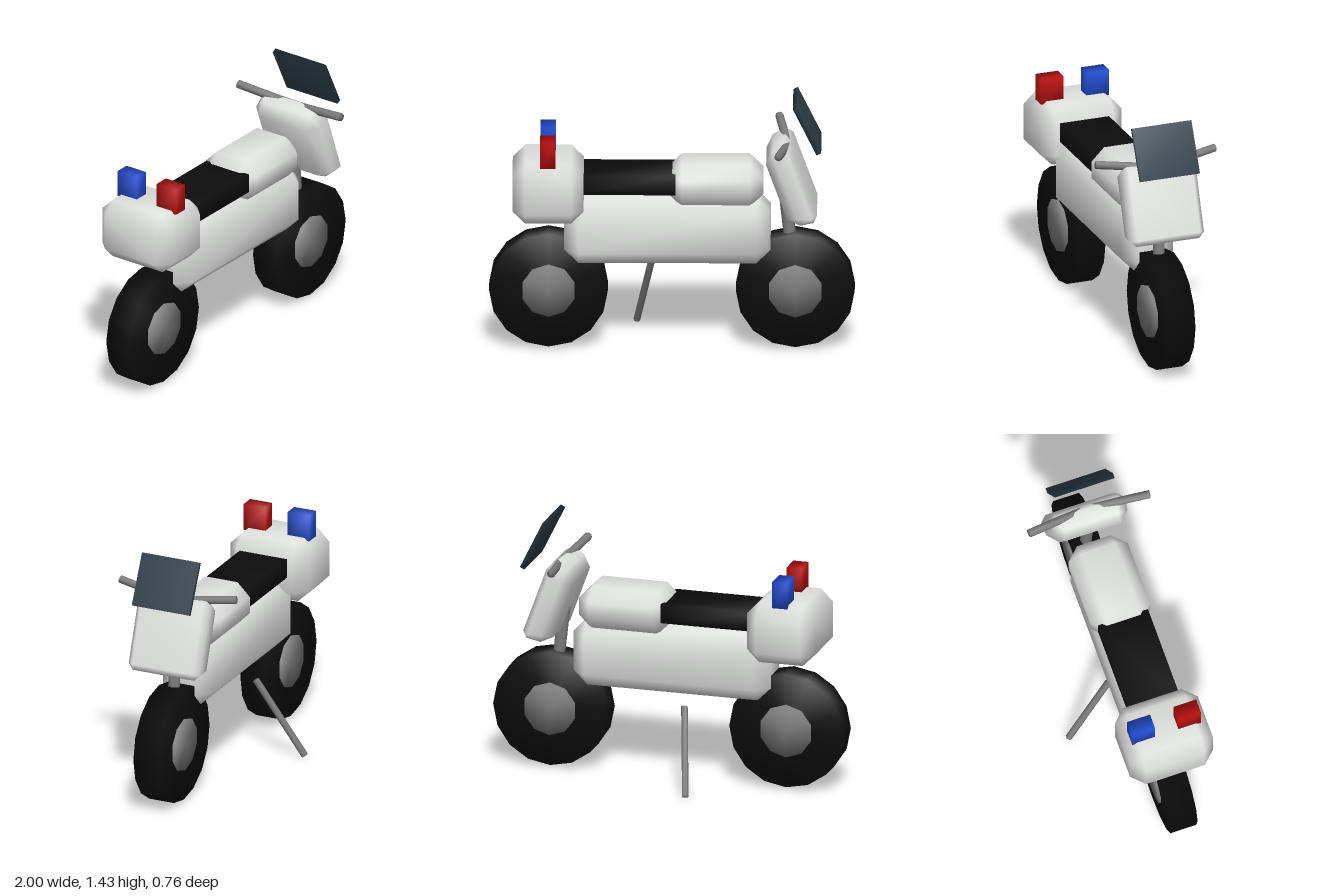
import * as THREE from 'three';
import { mergeVertices } from 'three/addons/utils/BufferGeometryUtils.js';
import { ConvexGeometry } from 'three/addons/geometries/ConvexGeometry.js';

const MID = 0.03; // z of the bike's centre plane

function material(name, color) {
  const m = new THREE.MeshStandardMaterial({ color });
  m.name = name;
  return m;
}

// Weld all corners so the shading runs smoothly over the edges
function smooth(geometry) {
  geometry.deleteAttribute('uv');
  geometry.deleteAttribute('normal');
  const welded = mergeVertices(geometry, 1e-4);
  welded.computeVertexNormals();
  return welded;
}

// Box with cut edges; the cut may differ at the -x and +x ends
function chamferBox(w, h, d, cut, cutPlus = cut) {
  const points = [];
  for (const sx of [-1, 1]) for (const sy of [-1, 1]) for (const sz of [-1, 1]) {
    const c = sx < 0 ? cut : cutPlus;
    const [x, y, z] = [w / 2, h / 2, d / 2];
    points.push(
      new THREE.Vector3(sx * x, sy * (y - c), sz * (z - c)),
      new THREE.Vector3(sx * (x - c), sy * y, sz * (z - c)),
      new THREE.Vector3(sx * (x - c), sy * (y - c), sz * z));
  }
  return smooth(new ConvexGeometry(points));
}

export function createModel() {
  const model = new THREE.Group();
  model.name = 'motorcycle';
  const white = material('white paint', 0xe0e2e0);
  const black = material('black rubber', 0x0d0d0d);
  const grey = material('grey metal', 0x7c7c7c);
  const red = material('red light', 0xc01010);
  const blue = material('blue light', 0x2450d8);
  const glass = material('dark glass', 0x2f404b);

  function add(name, geometry, mat, x, y, z, tilt = 0) {
    const mesh = new THREE.Mesh(geometry, mat);
    mesh.name = name;
    mesh.position.set(x, y, z);
    mesh.rotation.z = tilt;
    model.add(mesh);
    return mesh;
  }

  // Round bar between two points
  function rod(name, from, to, radius) {
    const a = new THREE.Vector3(...from), b = new THREE.Vector3(...to);
    const dir = b.clone().sub(a);
    const mid = a.clone().add(b).multiplyScalar(0.5);
    const mesh = add(name, smooth(new THREE.CylinderGeometry(radius, radius, dir.length(), 8)), grey, mid.x, mid.y, mid.z);
    mesh.quaternion.setFromUnitVectors(new THREE.Vector3(0, 1, 0), dir.normalize());
  }

  // Wheels with hubs showing on both sides
  for (const [end, x] of [['rear', -0.675], ['front', 0.675]]) {
    const tyre = new THREE.CylinderGeometry(0.325, 0.325, 0.15, 16).rotateX(Math.PI / 2);
    const hub = new THREE.CylinderGeometry(0.15, 0.15, 0.17, 10).rotateX(Math.PI / 2);
    add(end + 'Tyre', smooth(tyre), black, x, 0.343, MID);
    add(end + 'Hub', smooth(hub), grey, x, 0.343, MID);
  }

  // Body, tank, seat and rear case
  add('body', chamferBox(1.13, 0.38, 0.305, 0.078), white, -0.025, 0.692, MID);
  add('tank', chamferBox(0.52, 0.245, 0.345, 0.075), white, 0.24, 0.957, 0.025);
  add('seat', smooth(new THREE.BoxGeometry(0.57, 0.108, 0.288)), black, -0.265, 0.972, MID - 0.002);
  add('rearCase', chamferBox(0.39, 0.342, 0.48, 0.07), white, -0.677, 0.93, 0.022);

  // Warning lights
  const lamp = smooth(new THREE.BoxGeometry(0.085, 0.15, 0.132));
  add('redLight', lamp, red, -0.678, 1.16, 0.157);
  add('blueLight', lamp, blue, -0.678, 1.16, -0.11);

  // Front fairing and windscreen
  add('fairing', chamferBox(0.165, 0.45, 0.433, 0.058, 0.032), white, 0.651, 0.969, MID, 0.348);
  add('windscreen', smooth(new THREE.BoxGeometry(0.028, 0.295, 0.345)), glass, 0.74, 1.3, MID, 0.455);

  // Steering fork and handlebars
  rod('fork', [0.605, 1.0, MID], [0.672, 0.4, MID], 0.034);
  for (const s of [-1, 1]) {
    rod('handlebar', [0.635, 1.165, MID], [0.585, 1.212, MID + s * 0.35], 0.023);
  }

  // Kickstand
  rod('kickstand', [-0.112, 0.448, -0.104], [-0.195, 0.016, -0.361], 0.019);

  return model;
}
